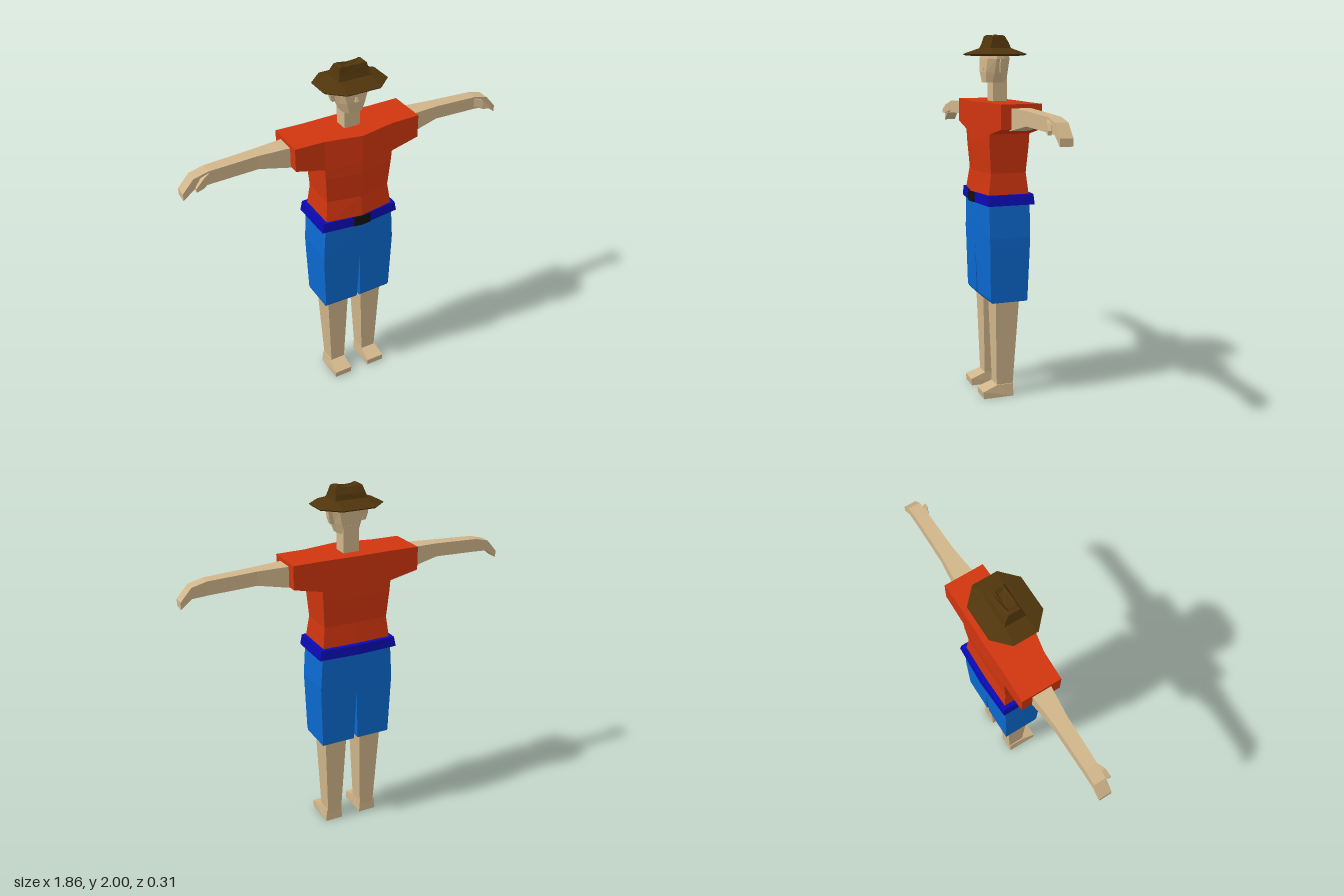
import * as THREE from 'three';

const mat = (name, color, extra = {}) => {
  const m = new THREE.MeshStandardMaterial({ color, ...extra });
  m.name = name;
  return m;
};

// Skin over a list of equal-sized rings of [x, y, z]; faces are turned outward by signed volume.
function loft(rings, capStart = true, capEnd = true) {
  const tris = [];
  const n = rings[0].length;
  for (let k = 0; k < rings.length - 1; k++) {
    for (let i = 0; i < n; i++) {
      const j = (i + 1) % n;
      const [a, b, c, d] = [rings[k][i], rings[k][j], rings[k + 1][j], rings[k + 1][i]];
      tris.push([a, b, c], [a, c, d]);
    }
  }
  const first = rings[0], last = rings[rings.length - 1];
  for (let i = 1; i < n - 1; i++) {
    if (capStart) tris.push([first[0], first[i + 1], first[i]]);
    if (capEnd) tris.push([last[0], last[i], last[i + 1]]);
  }
  const mid = new THREE.Vector3();
  first.concat(last).forEach(p => mid.add(new THREE.Vector3(...p)));
  mid.divideScalar(2 * n);
  const volume = tris.reduce((sum, t) => {
    const [a, b, c] = t.map(p => new THREE.Vector3(...p).sub(mid));
    return sum + a.dot(b.cross(c));
  }, 0);
  if (volume < 0) tris.forEach(t => t.reverse());
  const g = new THREE.BufferGeometry();
  g.setAttribute('position', new THREE.Float32BufferAttribute(tris.flat(2), 3));
  g.computeVertexNormals();
  return g;
}

// Horizontal body section with the front and back pushed out along the centre line
const bodyRing = (y, w, front, back, frontMid, backMid) => [
  [w, y, front], [w, y, back], [0, y, backMid], [-w, y, back], [-w, y, front], [0, y, frontMid]];

// Horizontal rectangle with cut corners
const cutRing = (y, w, front, back, cx, cz) => [
  [w, y, front - cz], [w, y, back + cz], [w - cx, y, back], [cx - w, y, back],
  [-w, y, back + cz], [-w, y, front - cz], [cx - w, y, front], [w - cx, y, front]];

// Plain rectangles across y and across x
const rectY = (y, x0, x1, front, back) => [[x1, y, front], [x1, y, back], [x0, y, back], [x0, y, front]];
const rectX = (x, y0, y1, front, back) => [[x, y0, front], [x, y0, back], [x, y1, back], [x, y1, front]];

export function createModel() {
  const model = new THREE.Group();
  model.name = 'standingMan';
  const skin = mat('skin', 0xd0b58a);
  const red = mat('shirtRed', 0xd0350f);
  const blue = mat('shortsBlue', 0x0b69d0, { side: THREE.DoubleSide });
  const navy = mat('beltNavy', 0x0a0ab2);
  const black = mat('buckleBlack', 0x101010);
  const brown = mat('hatBrown', 0x50350c);

  const add = (name, geometry, material) => {
    const mesh = new THREE.Mesh(geometry, material);
    mesh.name = name;
    model.add(mesh);
  };

  // Shirt body
  add('shirt', loft([
    bodyRing(1.14, 0.2, 0.11, -0.12, 0.145, -0.125),
    bodyRing(1.27, 0.185, 0.092, -0.106, 0.13, -0.11),
    bodyRing(1.42, 0.196, 0.103, -0.118, 0.143, -0.122),
    bodyRing(1.48, 0.2, 0.105, -0.12, 0.145, -0.124),
    bodyRing(1.645, 0.2, 0.105, -0.12, 0.145, -0.124),
  ]), red);

  // Belt and buckle
  add('belt', loft([
    bodyRing(1.1, 0.23, 0.12, -0.142, 0.148, -0.153),
    bodyRing(1.155, 0.22, 0.118, -0.138, 0.146, -0.15),
  ]), navy);
  add('buckle', loft([
    bodyRing(1.1, 0.05, 0.147, 0.12, 0.153, 0.12),
    bodyRing(1.155, 0.05, 0.147, 0.12, 0.153, 0.12),
  ]), black);

  // Paired parts
  for (const [side, s] of [['left', 1], ['right', -1]]) {
    const pair = (name, rings, material, c0, c1) => add(side + name,
      loft(rings.map(r => r.map(([x, y, z]) => [x * s, y, z])), c0, c1), material);

    pair('Sleeve', [
      rectX(0.2, 1.48, 1.645, 0.105, -0.12), rectX(0.362, 1.517, 1.645, 0.1, -0.124)], red);

    // Arm tapering to a drooping hand
    pair('Arm', [
      rectX(0.34, 1.507, 1.625, 0.045, -0.065),
      rectX(0.53, 1.545, 1.62, 0.026, -0.05),
      rectX(0.79, 1.535, 1.608, 0.021, -0.046),
      rectX(0.87, 1.53, 1.588, 0.021, -0.046),
      rectX(0.93, 1.482, 1.52, 0.021, -0.046)], skin);
    pair('Thumb', [
      rectX(0.785, 1.55, 1.6, 0.022, 0.0),
      rectX(0.83, 1.535, 1.585, 0.045, 0.018),
      rectX(0.87, 1.53, 1.55, 0.054, 0.038)], skin);

    // Shorts leg, open at the hem
    const shortsRing = (y, inner, w, front, frontMid, back) => [
      [w, y, front], [w, y, back], [inner, y, back], [inner, y, frontMid]];
    pair('ShortsLeg', [
      shortsRing(1.11, 0, 0.205, 0.108, 0.125, -0.122),
      shortsRing(0.92, 0, 0.217, 0.108, 0.123, -0.122),
      shortsRing(0.87, 0, 0.216, 0.106, 0.122, -0.121),
      shortsRing(0.58, 0.011, 0.206, 0.1, 0.11, -0.113),
      shortsRing(0.56, 0.012, 0.205, 0.09, 0.095, -0.112)], blue, true, false);

    pair('LowerLeg', [
      rectY(0.05, 0.063, 0.148, 0.045, -0.048),
      rectY(0.56, 0.042, 0.172, 0.06, -0.076),
      rectY(0.75, 0.036, 0.178, 0.064, -0.08)], skin);

    // Foot with a sloping instep
    const profile = [[-0.05, 0], [0.125, 0], [0.13, 0.04], [0.045, 0.07], [-0.048, 0.07]];
    pair('Foot', [0.058, 0.163].map(x => profile.map(([z, y]) =>
      [y > 0.06 ? (x < 0.1 ? 0.061 : 0.155) : x, y, z])), skin);

    pair('Ear', [
      rectY(1.8, 0.08, 0.102, 0.008, -0.016),
      rectY(1.835, 0.088, 0.112, 0.012, -0.02),
      rectY(1.87, 0.09, 0.117, 0.012, -0.022)], skin);
  }

  // Neck, head and nose
  add('neck', loft([rectY(1.63, -0.045, 0.045, 0.032, -0.05), rectY(1.79, -0.045, 0.045, 0.032, -0.05)]), skin);
  add('head', loft([
    cutRing(1.745, 0.058, 0.068, -0.046, 0.022, 0.03),
    cutRing(1.8, 0.082, 0.074, -0.05, 0.03, 0.04),
    cutRing(1.87, 0.104, 0.07, -0.054, 0.035, 0.04),
    cutRing(1.92, 0.098, 0.062, -0.05, 0.035, 0.04),
  ]), skin);
  add('nose', loft([
    rectY(1.808, -0.011, 0.011, 0.084, 0.06), rectY(1.83, -0.006, 0.006, 0.074, 0.06)]), skin);

  // Hat: sloping brim, then a crown with a creased top
  add('hatBrim', loft([
    cutRing(1.885, 0.11, 0.1, -0.09, 0.04, 0.045),
    cutRing(1.89, 0.178, 0.15, -0.137, 0.085, 0.08),
    cutRing(1.897, 0.182, 0.155, -0.142, 0.085, 0.08),
    cutRing(1.927, 0.095, 0.068, -0.058, 0.012, 0.012),
  ]), brown);
  // Lowers a ring toward its centre line to form the crease
  const crease = (ring, depth) => ring.map(([x, y, z]) => [x, y - depth * (1 - Math.abs(x) / 0.07), z]);
  const crownRing = (y, w, front, back) => [
    [w, y, front], [w, y, back], [0, y, back], [-w, y, back], [-w, y, front], [0, y, front]];
  add('hatCrown', loft([
    crownRing(1.915, 0.096, 0.068, -0.058),
    crownRing(1.955, 0.085, 0.052, -0.044),
    crease(crownRing(1.99, 0.076, 0.042, -0.024), 0.005),
    crease(crownRing(2.0, 0.06, 0.034, -0.016), 0.022),
    crease(crownRing(1.985, 0.045, 0.024, -0.006), 0.01),
  ]), brown);

  return model;
}
